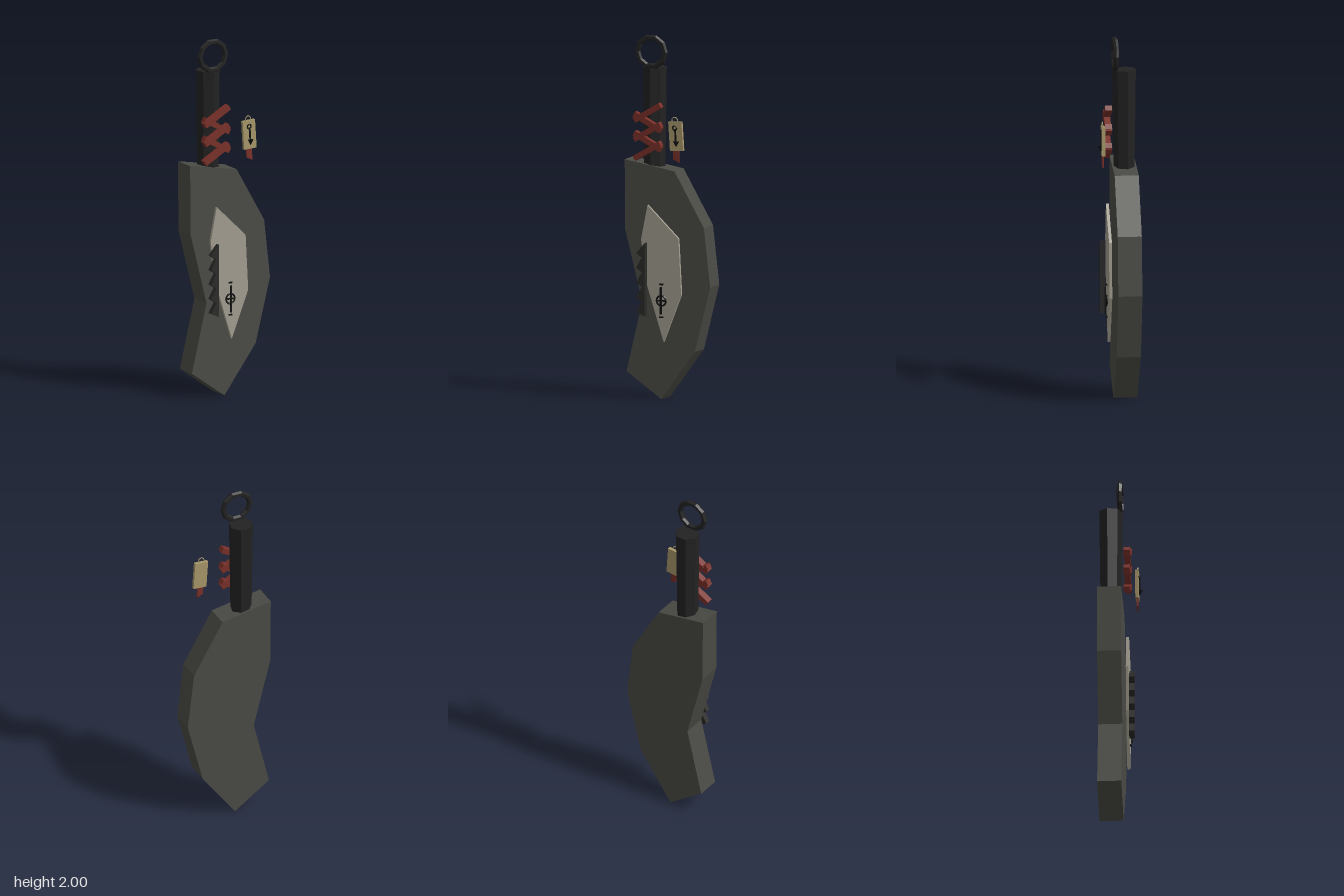
import * as THREE from 'three';

const mat = (name, color) => {
  const m = new THREE.MeshStandardMaterial({ color, flatShading: true });
  m.name = name;
  return m;
};

export function createModel() {
  const steel = mat('dark steel', 0x4a4a45);
  const bone = mat('pale stone', 0xa39e90);
  const black = mat('grip black', 0x222222);
  const toothMat = mat('tooth grey', 0x2a2a29);
  const red = mat('red cord', 0x7a3029);
  const tan = mat('tan tag', 0xa8986a);
  const ink = mat('ink black', 0x101010);

  const root = new THREE.Group();
  root.name = 'cleaver';

  const add = (parent, name, geo, material, x = 0, y = 0, z = 0, rz = 0) => {
    const mesh = new THREE.Mesh(geo, material);
    mesh.name = name;
    mesh.position.set(x, y, z);
    mesh.rotation.z = rz;
    parent.add(mesh);
    return mesh;
  };
  const group = (name) => {
    const g = new THREE.Group();
    g.name = name;
    root.add(g);
    return g;
  };
  // flat outline extruded forward from z = 0
  const slab = (pts, depth) => new THREE.ExtrudeGeometry(
    new THREE.Shape(pts.map(([x, y]) => new THREE.Vector2(x, y))),
    { depth, bevelEnabled: false });
  const box = (w, h, d) => new THREE.BoxGeometry(w, h, d);

  // blade body
  add(root, 'blade', slab([
    [-0.253, 1.31], [-0.25, 0.925], [-0.15, 0.53], [-0.242, 0.145], [-0.037, 0],
    [0.16, 0.27], [0.25, 0.63], [0.213, 0.955], [0.04, 1.258],
  ], 0.132), steel, 0, 0, -0.117);

  // pale inlay floating just ahead of the blade
  add(root, 'inlay', slab([
    [-0.105, 1.07], [-0.143, 0.88], [-0.108, 0.63], [-0.01, 0.32],
    [0.093, 0.585], [0.077, 0.893],
  ], 0.016), bone, 0, 0, 0.033);

  // saw teeth: five points facing -x along a narrow spine
  const teeth = [[-0.108, 0.46], [-0.108, 0.865]];
  const pitch = 0.081;
  for (let i = 0; i < 5; i++) {
    const top = 0.865 - i * pitch;
    if (i > 0) teeth.push([-0.126, top]);
    teeth.push([-0.159, top - pitch * 0.72]);
  }
  add(root, 'sawTeeth', slab(teeth, 0.03), toothMat, 0, 0, 0.051);

  // seven-sided grip with one flat turned to the back
  add(root, 'grip', new THREE.CylinderGeometry(0.067, 0.059, 0.57, 7), black, -0.104, 1.535, -0.052);

  // pommel ring
  add(root, 'pommelRing', new THREE.TorusGeometry(0.081, 0.016, 6, 10), black, -0.102, 1.907, 0);

  // crossed cord wraps
  const wraps = group('cordWraps');
  for (let i = 0; i < 5; i++) {
    add(wraps, 'cordWrap', box(0.176, 0.03, i % 2 ? 0.034 : 0.038), red,
      -0.105, 1.578 - i * 0.0525, 0.041, i % 2 ? -0.5 : 0.53);
  }

  // cross-in-circle emblem on the inlay
  const emblem = group('emblem');
  emblem.position.set(-0.022, 0.548, 0.054);
  add(emblem, 'emblemRing', new THREE.TorusGeometry(0.028, 0.005, 5, 12), ink);
  add(emblem, 'emblemUpright', box(0.01, 0.15, 0.009), ink, 0, 0, 0.006);
  add(emblem, 'emblemCrossbar', box(0.056, 0.008, 0.008), ink);
  for (const s of [-1, 1]) add(emblem, 'emblemDash', box(0.022, 0.008, 0.008), ink, 0, s * 0.09);

  // hanging tag with loop, tassel and arrow mark
  const tag = group('tag');
  tag.position.set(0.078, 1.463, 0.082);
  const tilt = 0.065;
  add(tag, 'tagPlate', box(0.078, 0.16, 0.018), tan, 0, 0, 0, tilt);
  add(tag, 'tagLoop', new THREE.TorusGeometry(0.017, 0.003, 5, 10), tan, -0.008, 0.087, 0.004);
  add(tag, 'tagTassel', slab([
    [-0.018, -0.07], [-0.016, -0.128], [0.019, -0.145], [0.016, -0.07],
  ], 0.009), red, 0, 0, -0.003);
  add(tag, 'markRing', new THREE.TorusGeometry(0.012, 0.004, 5, 10), ink, -0.005, 0.046, 0.012);
  add(tag, 'markShaft', box(0.008, 0.075, 0.008), ink, 0, 0.002, 0.012, tilt);
  const arrow = add(tag, 'markArrow', new THREE.ConeGeometry(0.018, 0.032, 4), ink, 0.004, -0.043, 0.013);
  arrow.rotation.x = Math.PI;

  return root;
}
